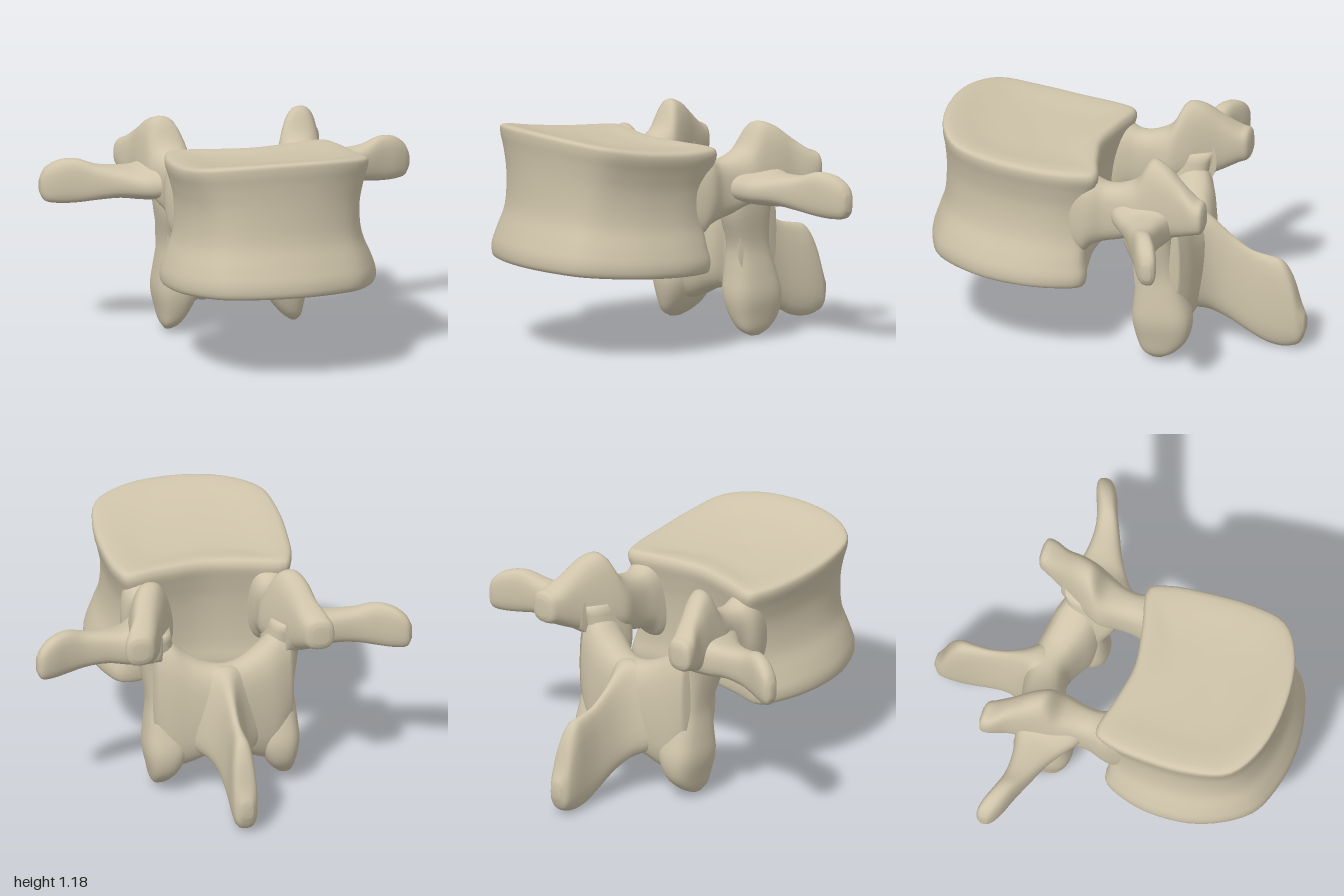
import * as THREE from 'three';

const bone = new THREE.MeshStandardMaterial({ color: 0xcfc4aa });
bone.name = 'bone';

// Smooth closed skin through a list of rings (equal point counts), capped at both ends
function skin(name, rings, around = 32, steps = 4) {
  const smooth = rings.map(r => {
    const c = new THREE.CatmullRomCurve3(r, true, 'centripetal');
    return Array.from({ length: around }, (_, i) => c.getPoint(i / around));
  });
  const count = (rings.length - 1) * steps + 1;
  const rails = Array.from({ length: around }, (_, i) =>
    new THREE.CatmullRomCurve3(smooth.map(r => r[i]), false, 'centripetal'));
  const pos = [], idx = [];
  for (let j = 0; j < count; j++)
    for (const rail of rails) pos.push(...rail.getPoint(j / (count - 1)).toArray());
  for (let j = 0; j < count - 1; j++)
    for (let i = 0; i < around; i++) {
      const a = j * around + i, b = j * around + (i + 1) % around;
      idx.push(a, b, a + around, b, b + around, a + around);
    }
  // end caps
  for (const end of [0, count - 1]) {
    const mid = new THREE.Vector3();
    rails.forEach(r => mid.add(r.getPoint(end ? 1 : 0)));
    pos.push(...mid.divideScalar(around).toArray());
    const m = pos.length / 3 - 1;
    for (let i = 0; i < around; i++) {
      const a = end * around + i, b = end * around + (i + 1) % around;
      if (end) idx.push(a, b, m); else idx.push(b, a, m);
    }
  }
  // make faces point outward, using the signed volume
  const p = k => new THREE.Vector3().fromArray(pos, k * 3);
  let volume = 0;
  for (let k = 0; k < idx.length; k += 3)
    volume += p(idx[k]).dot(p(idx[k + 1]).cross(p(idx[k + 2])));
  if (volume < 0) idx.reverse();
  const g = new THREE.BufferGeometry();
  g.setAttribute('position', new THREE.Float32BufferAttribute(pos, 3));
  g.setIndex(idx);
  g.computeVertexNormals();
  const mesh = new THREE.Mesh(g, bone);
  mesh.name = name;
  return mesh;
}

// Rounded ring across an axis; row = [t, a0, a1, b0, b1, pinch of the a-width at b1]
function ring(axis, [t, a0, a1, b0, b1, pinch = 0], side) {
  return Array.from({ length: 16 }, (_, i) => {
    const th = i / 16 * Math.PI * 2;
    const round = v => Math.sign(v) * Math.abs(v) ** 0.75;
    const v = round(Math.sin(th));
    const u = round(Math.cos(th)) * (1 - pinch * (v + 1) / 2);
    const a = (a0 + a1) / 2 + u * (a1 - a0) / 2;
    const b = (b0 + b1) / 2 + v * (b1 - b0) / 2;
    const q = axis === 'x' ? [t, a, b] : axis === 'y' ? [a, t, b] : [a, b, t];
    return new THREE.Vector3(q[0] * side, q[1], q[2]);
  });
}
const limb = (name, axis, rows, side = 1) => skin(name, rows.map(r => ring(axis, r, side)));

// Kidney-shaped drum with a sloping, dished top; the plan changes from base to top
function vertebralBody() {
  const mirror = half => [...half, ...half.slice(1, -1).reverse().map(([x, z]) => [-x, z])];
  const basePlan = mirror([[0, 0.06], [0.45, 0.03], [0.8, 0], [0.93, 0.13], [1, 0.34], [0.95, 0.62], [0.7, 0.88], [0.4, 0.965], [0, 1]]);
  const topPlan = mirror([[0, 0.08], [0.45, 0.04], [0.86, 0], [0.95, 0.1], [1, 0.32], [1, 0.62], [0.9, 0.83], [0.55, 0.955], [0, 1]]);
  const top = z => 1.065 + 0.02 * z + 0.16 * Math.max(0, z - 0.1) ** 2;
  const bottom = z => 0.395 + 0.07 * z;
  const level = (t, w, front, back, scale = 1, dish = 0) => basePlan.map(([bx, bz], i) => {
    const x = THREE.MathUtils.lerp(bx, topPlan[i][0], t);
    const v = THREE.MathUtils.lerp(bz, topPlan[i][1], t);
    const mid = (front + back) / 2;
    const z = mid + (back + (front - back) * v - mid) * scale;
    return new THREE.Vector3(x * w * scale, bottom(z) + (top(z) - bottom(z)) * t + dish, z);
  });
  return skin('vertebralBody', [
    level(0, 0.5, 0.93, 0.13, 0.03, 0.04),
    level(0, 0.5, 0.93, 0.13, 0.6, 0.03),
    level(0, 0.51, 0.94, 0.12, 0.96, 0.005),
    level(0.02, 0.545, 0.982, 0.1),
    level(0.1, 0.552, 0.99, 0.09),
    level(0.22, 0.525, 0.965, 0.1),
    level(0.4, 0.475, 0.925, 0.1),
    level(0.65, 0.458, 0.915, 0.08),
    level(0.82, 0.475, 0.922, 0.05),
    level(0.93, 0.492, 0.932, 0.03),
    level(0.98, 0.487, 0.927, 0.04),
    level(1, 0.465, 0.89, 0.06, 0.98),
    level(1, 0.455, 0.885, 0.06, 0.6, -0.012),
    level(1, 0.455, 0.885, 0.06, 0.03, -0.018),
  ], 64, 4);
}

export function createModel() {
  const model = new THREE.Group();
  model.name = 'vertebra';
  model.add(vertebralBody());

  for (const [label, s] of [['left', 1], ['right', -1]]) {
    // pedicle running back into the upper joint horn
    model.add(limb(label + 'UpperJointHorn', 'z', [
      [0.25, 0.2, 0.4, 0.62, 0.98],
      [0.12, 0.23, 0.445, 0.58, 1.02],
      [0.06, 0.24, 0.45, 0.635, 1.01],
      [-0.01, 0.25, 0.43, 0.66, 0.98],
      [-0.09, 0.245, 0.435, 0.68, 0.985],
      [-0.18, 0.215, 0.48, 0.72, 1.03, 0.2],
      [-0.26, 0.235, 0.5, 0.73, 1.155, 0.35],
      [-0.34, 0.285, 0.505, 0.74, 1.14, 0.25],
      [-0.43, 0.34, 0.515, 0.77, 1.07, 0.15],
      [-0.52, 0.385, 0.55, 0.81, 1.0],
      [-0.56, 0.405, 0.55, 0.825, 0.985],
      [-0.575, 0.44, 0.52, 0.86, 0.95],
    ], s));

    // side wing sweeping out and back, thin along the front of its root
    model.add(limb(label + 'SideWing', 'x', [
      [0.33, 0.7, 0.99, -0.42, -0.04, 0.4],
      [0.42, 0.7, 0.97, -0.41, -0.05, 0.45],
      [0.5, 0.705, 0.93, -0.385, -0.11, 0.45],
      [0.6, 0.725, 0.92, -0.365, -0.175, 0.3],
      [0.72, 0.725, 0.925, -0.365, -0.23, 0.1],
      [0.82, 0.715, 0.95, -0.39, -0.275],
      [0.91, 0.71, 0.935, -0.425, -0.31],
      [0.97, 0.72, 0.89, -0.435, -0.345],
      [0.995, 0.76, 0.84, -0.415, -0.37],
    ], s));

    // lower joint horn hanging from the arch
    model.add(limb(label + 'LowerJointHorn', 'y', [
      [0.9, 0.27, 0.43, -0.4, -0.12],
      [0.7, 0.23, 0.42, -0.37, -0.09],
      [0.5, 0.21, 0.39, -0.38, -0.155],
      [0.36, 0.185, 0.402, -0.42, -0.15],
      [0.23, 0.18, 0.412, -0.455, -0.14],
      [0.12, 0.225, 0.392, -0.435, -0.165],
      [0.05, 0.28, 0.375, -0.37, -0.2],
      [0.02, 0.32, 0.355, -0.31, -0.25],
    ], s));
  }

  // lamina plate bridging both sides behind the canal, its lower edge arched
  const lamina = [
    [0.37, 0.3, 0.85, -0.4, -0.16],
    [0.28, 0.12, 0.83, -0.44, -0.17],
    [0.19, 0.14, 0.76, -0.46, -0.195],
    [0.09, 0.19, 0.71, -0.48, -0.245],
  ];
  const mirrored = lamina.map(([x, ...rest]) => [-x, ...rest]).reverse();
  model.add(limb('lamina', 'x', [...lamina, [0, 0.205, 0.7, -0.5, -0.27], ...mirrored]));

  // rear spine, flaring into the lamina and narrow along its upper ridge
  model.add(limb('rearSpine', 'z', [
    [-0.36, -0.27, 0.27, 0.22, 0.69, 0.3],
    [-0.43, -0.24, 0.24, 0.205, 0.705, 0.5],
    [-0.49, -0.165, 0.165, 0.185, 0.68, 0.6],
    [-0.54, -0.118, 0.118, 0.155, 0.64, 0.6],
    [-0.6, -0.09, 0.09, 0.12, 0.59, 0.6],
    [-0.7, -0.07, 0.07, 0.055, 0.525, 0.5],
    [-0.78, -0.067, 0.067, 0.015, 0.505, 0.35],
    [-0.86, -0.07, 0.07, 0, 0.485, 0.2],
    [-0.915, -0.07, 0.07, 0.008, 0.4, 0.15],
    [-0.96, -0.06, 0.06, 0.03, 0.25, 0.1],
    [-0.99, -0.03, 0.03, 0.1, 0.18],
  ]));
  return model;
}
